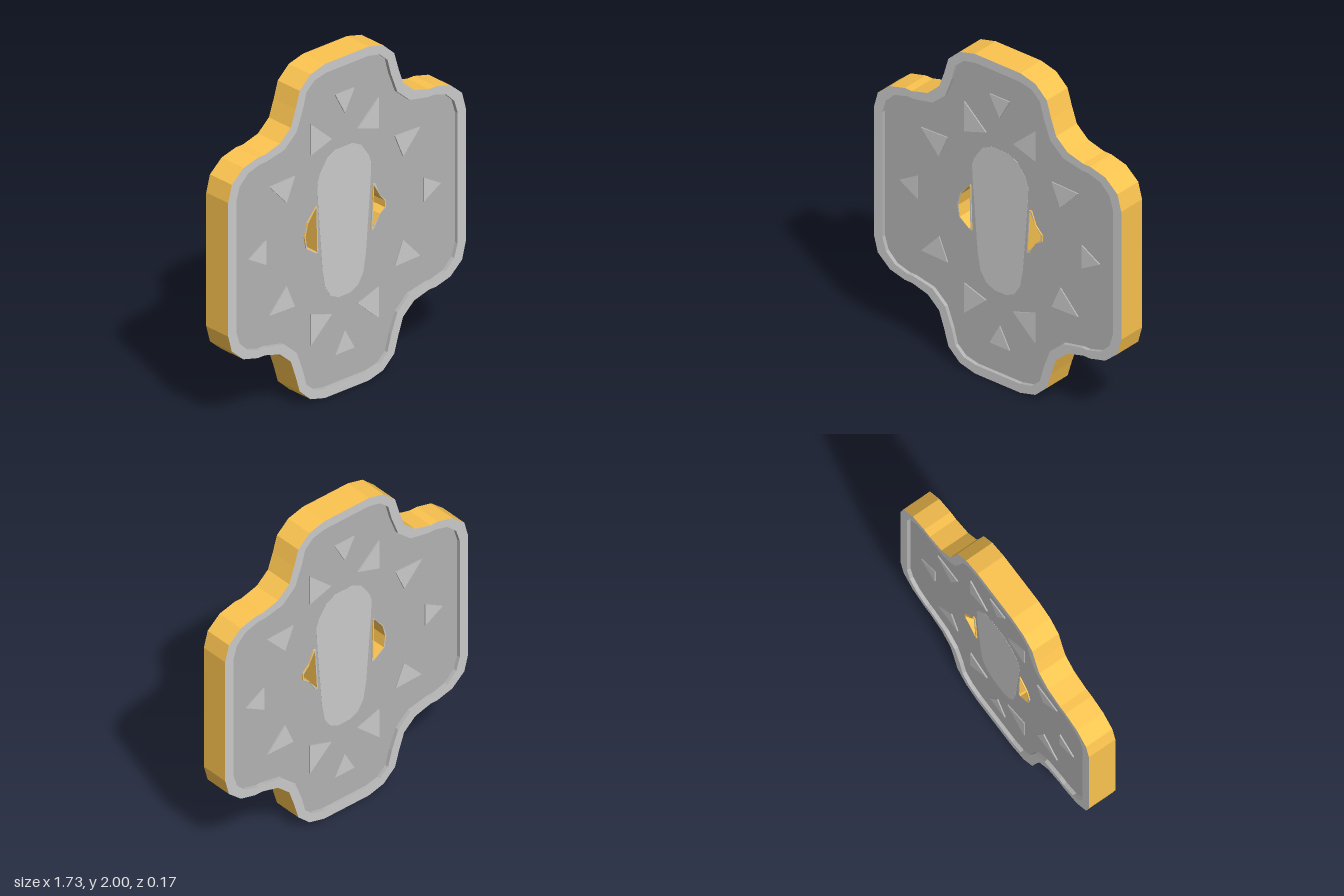
import * as THREE from 'three';

const mat = (color) => new THREE.MeshStandardMaterial({ color, flatShading: true });
const silver = mat(0xcccccc);
const recess = mat(0xb4b4b4);
const gold = mat(0xfcc450);

// half thickness of each layer
const RIM = 0.0875, STUD = 0.0725, LIP = 0.0725, FACE = 0.065, PANEL = 0.066;

const vectors = (pts) => pts.map(([x, y]) => new THREE.Vector2(x, y));

// Slab centred on z = 0, optionally pierced by holes
function slab(name, pts, half, capMat, sideMat, holes = []) {
  const outline = vectors(pts);
  // a counter-clockwise outline makes the hole walls face into the holes
  if (THREE.ShapeUtils.isClockWise(outline)) outline.reverse();
  const shape = new THREE.Shape(outline);
  shape.holes = holes.map((h) => new THREE.Path(vectors(h)));
  const geo = new THREE.ExtrudeGeometry(shape, { depth: half * 2, bevelEnabled: false });
  geo.translate(0, 0, -half);
  const mesh = new THREE.Mesh(geo, [capMat, sideMat]);
  mesh.name = name;
  return mesh;
}

// Mirror an upper-right quarter (from top centre to right side) into a closed outline around y = 1
function mirrorQuarter(q) {
  const right = [...q, ...q.map(([x, y]) => [x, 2 - y]).reverse()];
  return [...right, ...right.map(([x, y]) => [-x, y]).reverse()];
}

// Grow an outline about its bounding-box centre
function grow(pts, margin) {
  const box = new THREE.Box2().setFromPoints(vectors(pts));
  const c = box.getCenter(new THREE.Vector2());
  const s = box.getSize(new THREE.Vector2());
  const kx = 1 + (2 * margin) / s.x, ky = 1 + (2 * margin) / s.y;
  return pts.map(([x, y]) => [c.x + (x - c.x) * kx, c.y + (y - c.y) * ky]);
}

export function createModel() {
  const model = new THREE.Group();
  model.name = 'crossShield';

  // outer edge and inner edge of the rim, matching point for point
  const outer = mirrorQuarter([
    [0.16, 2], [0.265, 1.973], [0.345, 1.9], [0.375, 1.8], [0.41, 1.7], [0.49, 1.63],
    [0.6, 1.6], [0.65, 1.6], [0.755, 1.573], [0.84, 1.5], [0.867, 1.4],
  ]);
  const inner = mirrorQuarter([
    [0.155, 1.945], [0.237, 1.927], [0.296, 1.875], [0.322, 1.78], [0.368, 1.66], [0.457, 1.582],
    [0.59, 1.555], [0.633, 1.555], [0.72, 1.53], [0.783, 1.47], [0.808, 1.39],
  ]);
  const middle = outer.map(([x, y], i) => [(x + inner[i][0]) / 2, (y + inner[i][1]) / 2]);

  // gold-sided outer half of the rim, grey inner half
  model.add(slab('outerRim', outer, RIM, silver, gold, [middle]));
  model.add(slab('innerRim', middle, RIM, silver, recess, [inner]));

  // two unequal slots through the plate
  const slots = [
    [[-0.215, 1.145], [-0.27, 1.075], [-0.288, 1], [-0.277, 0.93], [-0.215, 0.883], [-0.203, 0.883], [-0.21, 1.145]],
    [[0.213, 1.145], [0.227, 1.145], [0.253, 1.07], [0.29, 1.03], [0.29, 0.99], [0.253, 0.963], [0.215, 0.893], [0.199, 0.89]],
  ];
  const lips = slots.map((s) => grow(s, 0.008));
  model.add(slab('recessedFace', inner, FACE, recess, recess, lips));
  slots.forEach((s, i) => model.add(slab('slotLip', lips[i], LIP, silver, gold, [s])));

  // long tapered panel in the middle
  const half = [
    [0.06, 1.447], [0.125, 1.415], [0.18, 1.335], [0.197, 1.285], [0.192, 1.18],
    [0.158, 0.755], [0.138, 0.645], [0.1, 0.585], [0.042, 0.557],
  ];
  const panel = [...half, ...half.map(([x, y]) => [-x, y]).reverse()];
  model.add(slab('centrePanel', panel, PANEL, silver, silver));

  // ring of twelve triangular studs, mirrored from one quarter
  const studs = new THREE.Group();
  studs.name = 'triangleStuds';
  const addStud = (tri, sx, sy) => studs.add(
    slab('stud', tri.map(([x, y]) => [x * sx, 1 + (y - 1) * sy]), STUD, silver, recess));
  const topStud = [[-0.07, 1.778], [0.07, 1.778], [0, 1.65]];
  const sideStud = [[0.575, 1.073], [0.575, 0.928], [0.7, 1]];
  const diagonalStuds = [
    [[0.248, 1.662], [0.095, 1.525], [0.248, 1.475]],
    [[0.365, 1.39], [0.55, 1.385], [0.425, 1.25]],
  ];
  for (const s of [1, -1]) {
    addStud(topStud, 1, s);
    addStud(sideStud, s, 1);
    for (const t of [1, -1]) diagonalStuds.forEach((d) => addStud(d, s, t));
  }
  model.add(studs);

  return model;
}
